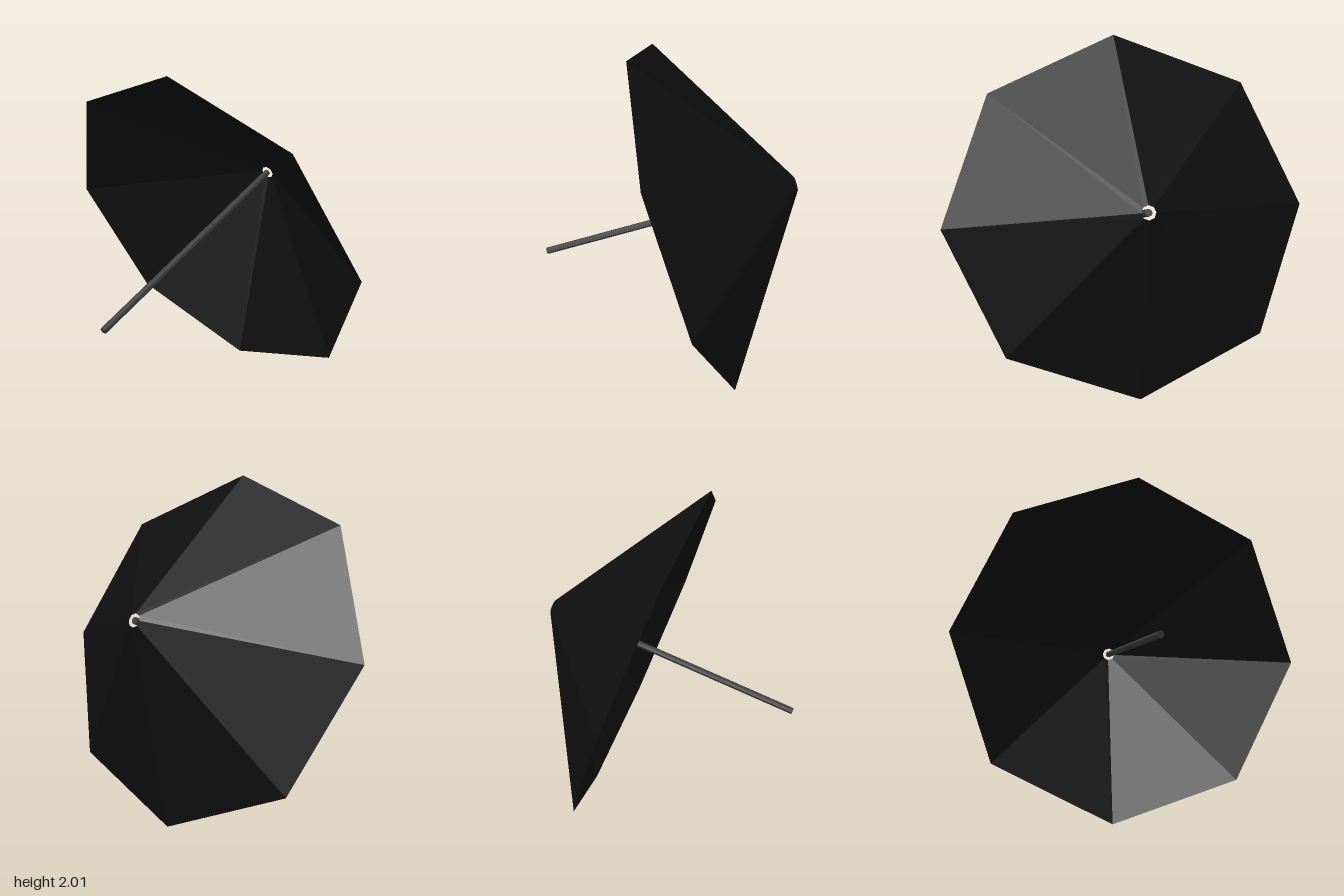
import * as THREE from 'three';

export function createModel() {
  const model = new THREE.Group();
  model.name = 'umbrella';

  const fabric = new THREE.MeshStandardMaterial({
    name: 'black fabric', color: 0x0f0f0f, flatShading: true, side: THREE.DoubleSide,
  });
  const metal = new THREE.MeshStandardMaterial({
    name: 'dark grey metal', color: 0x3c3c3c, flatShading: true,
  });

  // Local frame: y runs along the shaft, x points to one corner of the canopy
  const tilted = new THREE.Group();
  tilted.name = 'tiltedUmbrella';
  const axis = new THREE.Vector3(0.889, 0.34, -0.309).normalize();
  const corner = new THREE.Vector3(-0.345, 1, 0.13);
  corner.addScaledVector(axis, -corner.dot(axis)).normalize();
  const side = new THREE.Vector3().crossVectors(corner, axis);
  tilted.quaternion.setFromRotationMatrix(new THREE.Matrix4().makeBasis(corner, axis, side));
  tilted.position.set(0.135, 1.003, 0);
  model.add(tilted);

  // Eight-panel canopy, hollow underneath, with a small hole at the tip
  const height = 0.632;
  const canopy = new THREE.Mesh(
    new THREE.CylinderGeometry(0.04, 1.066, height, 8, 1, true), fabric);
  canopy.name = 'canopy';
  canopy.position.y = height / 2;
  tilted.add(canopy);

  // Straight shaft from the tip to the grip end
  const bottom = -0.946, top = 0.63;
  const shaft = new THREE.Mesh(
    new THREE.CylinderGeometry(0.02, 0.02, top - bottom, 8), metal);
  shaft.name = 'shaft';
  shaft.position.y = (top + bottom) / 2;
  tilted.add(shaft);

  return model;
}
